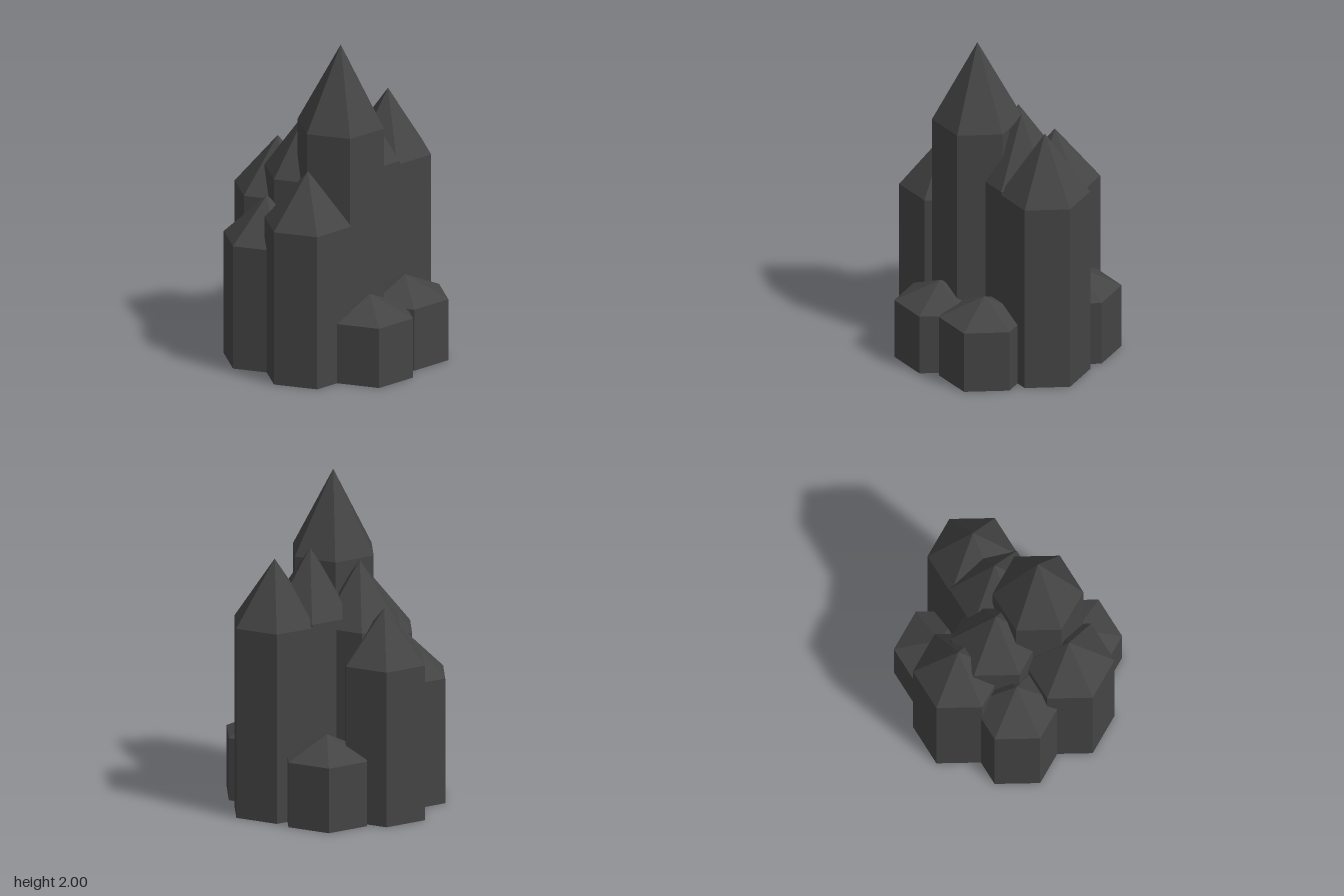
import * as THREE from 'three';

const RADIUS = 0.27; // hexagon corner radius, corners point to +z and -z

// name, x, z, shoulder height (the tip adds a third of it)
const COLUMNS = [
  ['tallColumn', 0.145, 0.105, 1.5],
  ['innerLeftColumn', -0.148, 0.105, 1.133],
  ['innerBackColumn', 0, -0.15, 1.192],
  ['backColumn', 0, -0.4, 1.172],
  ['leftColumn', -0.41, 0.11, 0.958],
  ['frontLeftColumn', -0.182, 0.4, 0.773],
  ['frontRightColumn', 0.182, 0.4, 0.962],
  ['rightStub', 0.41, 0.11, 0.374],
  ['backRightStub', 0.328, -0.243, 0.385],
  ['backLeftStub', -0.328, -0.243, 0.4],
];

// One hexagonal crystal: a straight shaft with a pyramid tip
function crystal(name, x, z, height, material) {
  const group = new THREE.Group();
  group.name = name;
  group.position.set(x, 0, z);

  const shaft = new THREE.Mesh(new THREE.CylinderGeometry(RADIUS, RADIUS, height, 6), material);
  shaft.name = 'shaft';
  shaft.position.y = height / 2;

  const tipHeight = height / 3;
  const tip = new THREE.Mesh(new THREE.ConeGeometry(RADIUS, tipHeight, 6, 1, true), material);
  tip.name = 'tip';
  tip.position.y = height + tipHeight / 2;

  group.add(shaft, tip);
  return group;
}

export function createModel() {
  const stone = new THREE.MeshStandardMaterial({ color: 0x444444 });
  stone.name = 'dark grey stone';
  stone.flatShading = true;

  const model = new THREE.Group();
  model.name = 'crystalCluster';
  for (const [name, x, z, height] of COLUMNS) model.add(crystal(name, x, z, height, stone));
  return model;
}
